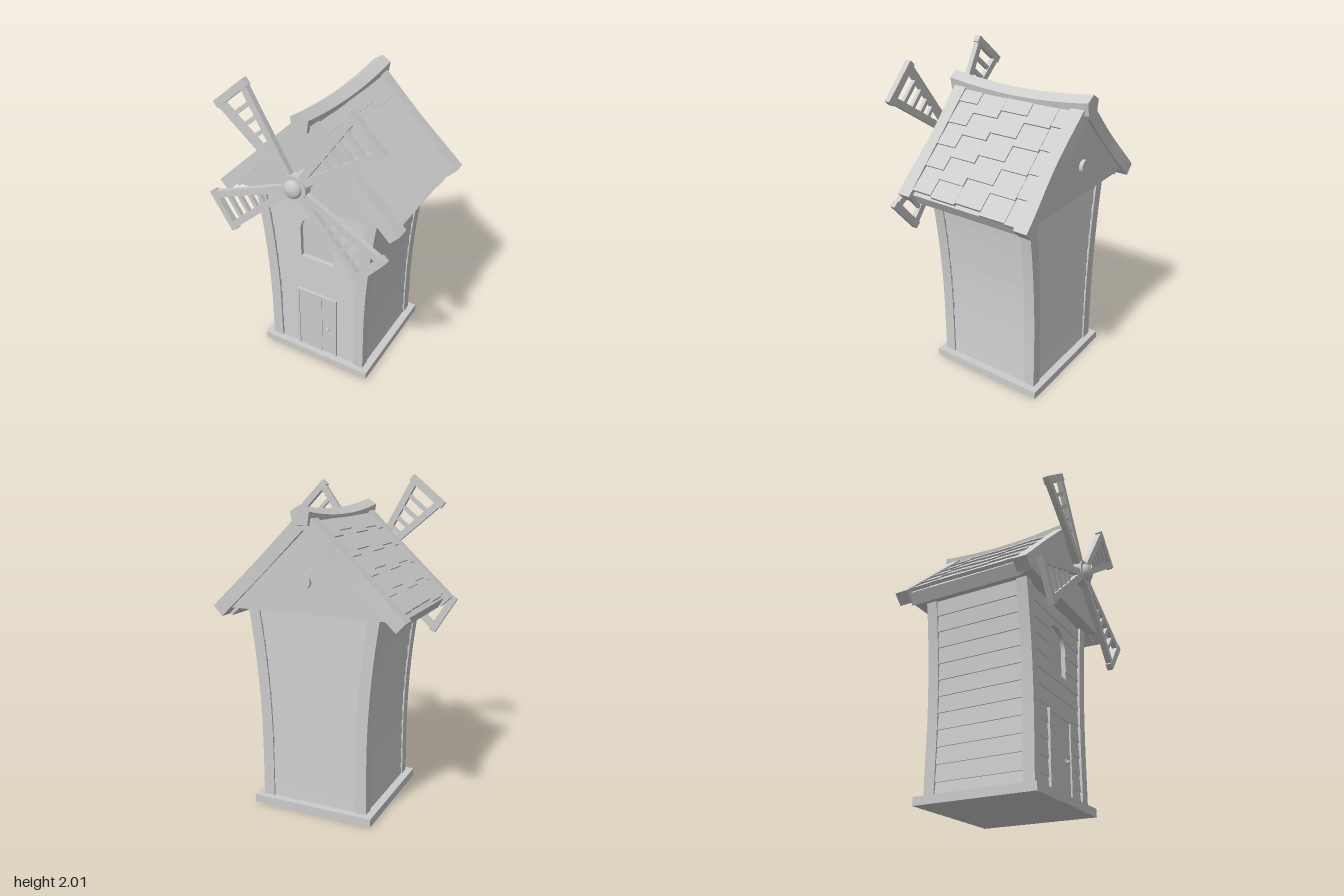
import * as THREE from 'three';

const MID = -0.057;               // z of the tower's centre
const WALL_TOP = 1.255, BASE_TOP = 0.05, ROWS = 12, ROW = 0.1023;
const SLOPE = 0.95, PITCH = Math.atan(SLOPE);
const WIN = { x: 0.005, r: 0.115, y0: 0.795, spring: 0.995, y1: 1.11 };

const mat = new THREE.MeshStandardMaterial({ color: 0xcccccc });

// half width of the tower, flaring towards the top
const outer = (y) => 0.346 + 0.075 * Math.max(0, (y - 0.35) / 0.9) ** 2;

function add(parent, name, geo, x = 0, y = 0, z = 0) {
  const m = new THREE.Mesh(geo, mat);
  m.name = name;
  m.position.set(x, y, z);
  parent.add(m);
  return m;
}
function group(parent, name) {
  const g = new THREE.Group();
  g.name = name;
  parent.add(g);
  return g;
}
const box = (w, h, d) => new THREE.BoxGeometry(w, h, d);
const rod = (r0, r1, len, n = 20) => new THREE.CylinderGeometry(r0, r1, len, n).rotateX(Math.PI / 2);

// polygon in x/y, extruded from z0 to z1
function prism(points, z0, z1, steps = 1) {
  const shape = new THREE.Shape(points.map(([x, y]) => new THREE.Vector2(x, y)));
  return new THREE.ExtrudeGeometry(shape, { depth: z1 - z0, steps, bevelEnabled: false }).translate(0, 0, z0);
}
// move every vertex by a rule, then refresh the normals
function bend(geo, rule) {
  const p = geo.attributes.position, v = new THREE.Vector3();
  for (let i = 0; i < p.count; i++) {
    rule(v.fromBufferAttribute(p, i));
    p.setXYZ(i, v.x, v.y, v.z);
  }
  geo.computeVertexNormals();
  return geo;
}
// outline between two x curves from y0 to y1
function between(left, right, y0, y1, n) {
  const a = [], b = [];
  for (let i = 0; i <= n; i++) {
    const y = y0 + (y1 - y0) * i / n;
    a.push([right(y), y]);
    b.unshift([left(y), y]);
  }
  return a.concat(b);
}

function buildTower(root) {
  const tower = group(root, 'tower');
  tower.position.x = 0.005;
  add(tower, 'base', box(0.78, BASE_TOP, 0.775), 0, BASE_TOP / 2, MID);

  // curved corner posts
  for (const s of [-1, 1]) for (const z of [0.225, -0.406]) {
    const edge = [(y) => s * outer(y), (y) => s * (outer(y) - 0.07)];
    if (s > 0) edge.reverse();
    add(tower, 'cornerPost', prism(between(edge[0], edge[1], BASE_TOP, WALL_TOP, 14), z, z + 0.07));
  }

  // lapped planks, each leaning in towards its top edge
  const edge = (y) => outer(y) - 0.035;
  const arch = (y) => y <= WIN.spring ? WIN.r : Math.sqrt(Math.max(0, WIN.r ** 2 - (y - WIN.spring) ** 2));
  for (let i = 0; i < ROWS; i++) {
    const y1 = WALL_TOP - (ROWS - 1 - i) * ROW, y0 = Math.max(BASE_TOP, y1 - ROW);
    const lean = (v) => 0.007 * (v.y - y0) / (y1 - y0);
    for (const s of [-1, 1]) {
      const a = outer(y0) - 0.006, b = outer(y1) - 0.014;
      const pts = [[a - 0.06, y0], [a, y0], [b, y1], [b - 0.06, y1]].map(([x, y]) => [s * x, y]);
      add(tower, 'sidePlank', prism(pts, -0.37, 0.26));
    }
    const full = between((y) => -edge(y), edge, y0, y1, 2);
    add(tower, 'backPlank', bend(prism(full, -0.398, -0.34), (v) => { if (v.z < -0.36) v.z += lean(v); }));

    // front planks are cut around the arched window
    const cuts = [y0, ...[WIN.y0, WIN.y1].filter((y) => y > y0 && y < y1), y1];
    for (let k = 0; k + 1 < cuts.length; k++) {
      const lo = cuts[k], hi = cuts[k + 1], mid = (lo + hi) / 2;
      const open = mid > WIN.y0 && mid < WIN.y1;
      const parts = open
        ? [between((y) => -edge(y), (y) => WIN.x - arch(y), lo, hi, 10),
          between((y) => WIN.x + arch(y), edge, lo, hi, 10)]
        : [between((y) => -edge(y), edge, lo, hi, 2)];
      for (const p of parts)
        add(tower, 'frontPlank', bend(prism(p, 0.23, 0.284), (v) => { if (v.z > 0.26) v.z -= lean(v); }));
    }
  }
  add(tower, 'windowPanel', box(0.28, 0.36, 0.02), WIN.x, 0.955, 0.242);
}

function buildDoor(root) {
  const door = group(root, 'door');
  door.position.x = 0.004;
  for (const s of [-1, 1]) add(door, 'doorJamb', box(0.018, 0.46, 0.05), s * 0.139, 0.28, 0.27);
  add(door, 'doorLintel', box(0.296, 0.02, 0.05), 0, 0.52, 0.27);
  // two boards with a narrow joint
  add(door, 'wideBoard', box(0.169, 0.46, 0.05), -0.0455, 0.28, 0.264);
  add(door, 'narrowBoard', box(0.091, 0.46, 0.05), 0.0845, 0.28, 0.26);
  add(door, 'knobPlate', rod(0.02, 0.02, 0.006), 0.083, 0.264, 0.287);
  add(door, 'knob', new THREE.SphereGeometry(0.013, 14, 10), 0.083, 0.264, 0.294);
  for (const x of [-0.105, -0.035]) for (const y of [0.13, 0.43])
    add(door, 'nail', rod(0.003, 0.003, 0.004, 8), x, y, 0.289);
}

function buildRoof(root) {
  const roof = group(root, 'roof');
  add(roof, 'gable', prism([[-0.5, 1.25], [0.5, 1.25], [0, 1.73]], -0.485, 0.36));

  for (const s of [-1, 1]) {
    const flip = (pts) => pts.map(([x, y]) => [s * x, y]);
    add(roof, 'roofSlab', prism(flip([[0, 1.8], [0.565, 1.255], [0.525, 1.19], [0, 1.69]]), -0.435, 0.315));

    // barge boards, slightly hollowed on their outer face
    for (const [name, z, out] of [['frontBarge', 0.347, 1], ['backBarge', -0.467, -1]]) {
      const board = bend(new THREE.BoxGeometry(1, 1, 0.086, 12, 1, 1), (v) => {
        const u = 0.5 + s * v.x, upper = v.y > 0;
        const hollow = 0.007 * (1 - Math.cos(Math.PI * 2 * u));
        v.x = s * u * (upper ? 0.602 : 0.545);
        v.y = upper ? 1.83 - 0.573 * u : 1.72 - 0.522 * u;
        if (v.z * out > 0) v.z -= out * hollow;
      });
      add(roof, name, board, 0, 0, z);
    }

    // staggered columns of overlapping shingles: column edges in z and eave x
    const zs = s > 0 ? [0.308, 0.17, -0.005, -0.185, -0.355, -0.428] : [0.308, 0.235, 0.06, -0.115, -0.29, -0.428];
    const eaves = s > 0 ? [0.55, 0.558, 0.55, 0.568, 0.572] : [0.55, 0.557, 0.543, 0.545, 0.548];
    const first = s > 0 ? [0.12, 0.085, 0.115, 0.1, 0.115] : [0.09, 0.115, 0.085, 0.115, 0.09];
    for (let c = 0; c < 5; c++) {
      let x1 = eaves[c], step = first[c];
      while (x1 > 0.06) {
        const x0 = Math.max(0.01, x1 - step - 0.015);
        const len = (x1 - x0) / Math.cos(PITCH), x = (x0 + x1) / 2;
        const m = add(roof, 'shingle', box(len, 0.022, zs[c] - zs[c + 1] - 0.003),
          s * (x + 0.003), 1.8 - SLOPE * x - 0.001, (zs[c] + zs[c + 1]) / 2);
        m.rotation.z = -s * (PITCH - 0.07);
        x1 -= step;
        step = 0.108;
      }
    }
  }

  // sagging ridge beam
  const ridge = prism([[0, 1.82], [-0.057, 1.785], [-0.045, 1.71], [0.045, 1.71], [0.057, 1.785]], -0.535, 0.417, 14);
  add(roof, 'ridgeBeam', bend(ridge, (v) => { v.y += 0.036 * ((v.z + 0.059) / 0.476) ** 2; }), 0.004);
}

function buildSails(root) {
  const sails = group(root, 'sails');
  sails.position.set(0.003, 1.434, 0);
  add(sails, 'frontShaft', rod(0.055, 0.055, 0.13), 0, 0, 0.385);
  add(sails, 'rearShaft', rod(0.04, 0.04, 0.05), 0, 0, -0.482);
  add(sails, 'hub', rod(0.08, 0.08, 0.05, 28), 0, 0, 0.472);
  const cap = new THREE.LatheGeometry([[0.055, 0], [0.055, 0.012], [0.048, 0.026], [0.032, 0.037], [0, 0.041]]
    .map(([r, y]) => new THREE.Vector2(r, y)), 24).rotateX(Math.PI / 2);
  add(sails, 'hubCap', cap, 0, 0, 0.494);

  const SPREAD = 0.178, R = 0.608;
  for (const deg of [44.5, 129.5, 211.5, -39.5]) {
    const sail = group(sails, 'sail');
    sail.position.z = 0.472;
    sail.rotation.z = THREE.MathUtils.degToRad(deg);
    for (const s of [-1, 1]) {
      const spar = add(sail, 'spar', box(0.57, 0.042, 0.034), 0.325 * Math.cos(SPREAD), s * 0.325 * Math.sin(SPREAD));
      spar.rotation.z = s * SPREAD;
    }
    add(sail, 'tipBar', box(0.045, 0.275, 0.037), R, 0);
    for (const r of [0.51, 0.43, 0.35, 0.28])
      add(sail, 'rung', box(0.024, 2 * r * Math.tan(SPREAD), 0.024), r, 0);
  }
}

export function createModel() {
  const root = new THREE.Group();
  root.name = 'windmill';
  buildTower(root);
  buildDoor(root);
  buildRoof(root);
  buildSails(root);
  return root;
}
